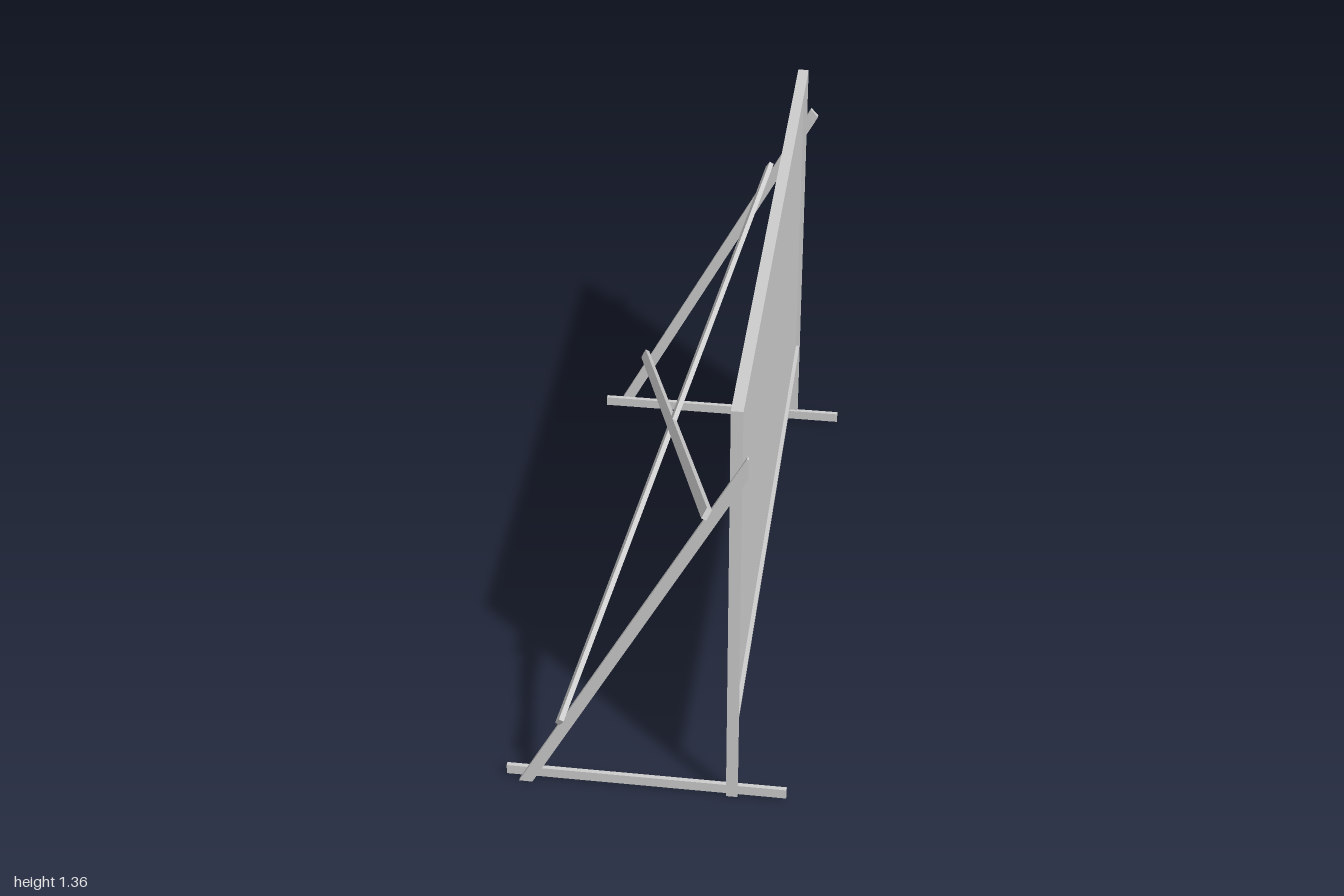
import * as THREE from 'three';

const material = new THREE.MeshStandardMaterial({ color: 0xcccccc, flatShading: true });

// Box given by its minimum and maximum corners
function slab(name, [x0, y0, z0], [x1, y1, z1]) {
  const mesh = new THREE.Mesh(new THREE.BoxGeometry(x1 - x0, y1 - y0, z1 - z0), material);
  mesh.position.set((x0 + x1) / 2, (y0 + y1) / 2, (z0 + z1) / 2);
  mesh.name = name;
  return mesh;
}

// Flat board cut to an outline in x and y
function board(name, outline, z0, z1) {
  const shape = new THREE.Shape(outline.map(([x, y]) => new THREE.Vector2(x, y)));
  const geometry = new THREE.ExtrudeGeometry(shape, { depth: z1 - z0, bevelEnabled: false });
  const mesh = new THREE.Mesh(geometry, material);
  mesh.position.z = z0;
  mesh.name = name;
  return mesh;
}

export function createModel() {
  const model = new THREE.Group();
  model.name = 'standingBoard';

  // Side supports: post, foot and leaning strut, with square or plumb-cut strut tops
  const sides = [
    { name: 'left', post: [0.952, 0.965], foot: [0.946, 0.959], strut: [0.962, 0.974],
      top: [[0.281, 1.153], [0.281, 1.215], [0.277, 1.218]] },
    { name: 'right', post: [-0.935, -0.92], foot: [-0.925, -0.911], strut: [-0.949, -0.936],
      top: [[0.3, 1.192], [0.277, 1.218]] },
  ];
  for (const { name, post, foot, strut, top } of sides) {
    const support = new THREE.Group();
    support.name = name + 'Support';
    support.add(
      slab('post', [0.232, 0.004, post[0]], [0.265, 1.36, post[1]]),
      slab('foot', [-0.408, 0.01, foot[0]], [0.405, 0.042, foot[1]]),
      board('strut', [[-0.37, 0], [-0.331, 0], ...top], strut[0], strut[1]),
    );
    model.add(support);
  }

  // Panel with its top and bottom rails
  model.add(
    slab('panel', [0.244, 0.305, -0.925], [0.253, 1.352, 0.957]),
    slab('topRail', [0.232, 1.347, -0.935], [0.265, 1.36, 0.965]),
    slab('bottomRail', [0.231, 0.299, -0.922], [0.265, 0.312, 0.954]),
  );

  // Crossed braces lying on the back edges of the struts
  const crossBracing = new THREE.Group();
  crossBracing.name = 'crossBracing';
  crossBracing.position.set(-0.35, 0, 0);
  crossBracing.rotation.z = -Math.atan2(0.469, 0.883);
  // Each brace runs from (distance up the strut, z) to (distance up the strut, z)
  const braces = [[0.192, -0.993, 1.165, 0.989], [1.1, -0.973, 0.28, 0.992]];
  for (const [u0, z0, u1, z1] of braces) {
    const length = Math.hypot(u1 - u0, z1 - z0);
    const brace = new THREE.Mesh(new THREE.BoxGeometry(0.015, length, 0.032), material);
    brace.position.set(-0.025, (u0 + u1) / 2, (z0 + z1) / 2);
    brace.rotation.x = Math.atan2(z1 - z0, u1 - u0);
    brace.name = 'crossBrace';
    crossBracing.add(brace);
  }
  model.add(crossBracing);

  return model;
}
